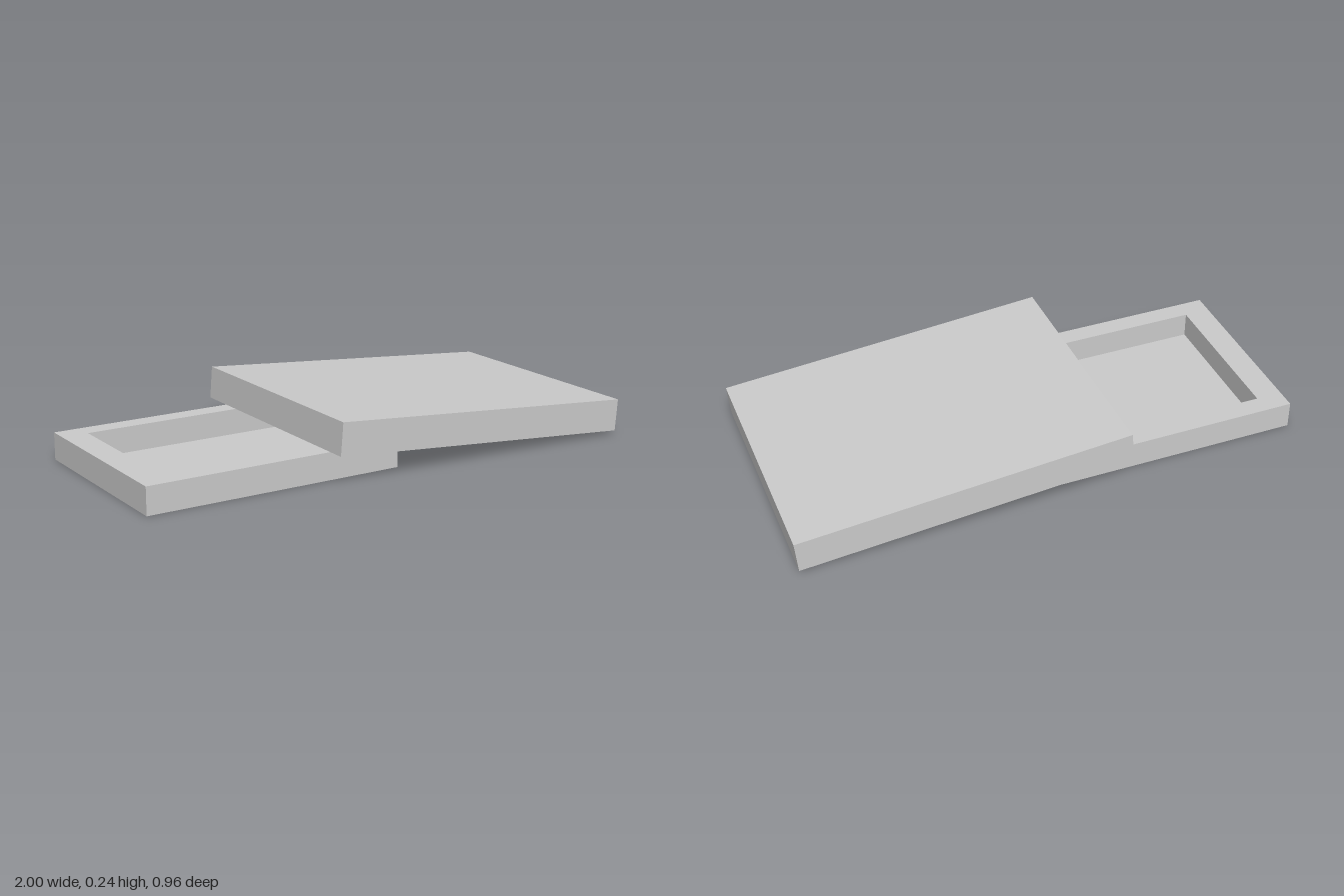
import * as THREE from 'three';

const material = new THREE.MeshStandardMaterial({ color: 0xcccccc, flatShading: true });

function rectangle(PathType, w, d) {
  return new PathType([
    new THREE.Vector2(-w / 2, -d / 2), new THREE.Vector2(w / 2, -d / 2),
    new THREE.Vector2(w / 2, d / 2), new THREE.Vector2(-w / 2, d / 2),
  ]);
}

// Open shallow box centred on its origin: a thin plate with a rim around a recess
function openBox(name, length, height, depth) {
  const plate = 0.005, inset = 0.8;
  const group = new THREE.Group();
  group.name = name;

  const outline = rectangle(THREE.Shape, length, depth);
  outline.holes.push(rectangle(THREE.Path, length * inset, depth * inset));
  const rimGeometry = new THREE.ExtrudeGeometry(outline, { depth: height - plate, bevelEnabled: false });
  rimGeometry.rotateX(-Math.PI / 2).translate(0, plate - height / 2, 0);
  const rim = new THREE.Mesh(rimGeometry, material);
  rim.name = name + 'Rim';

  const base = new THREE.Mesh(new THREE.BoxGeometry(length, plate, depth), material);
  base.name = name + 'Plate';
  base.position.y = (plate - height) / 2;

  group.add(rim, base);
  return group;
}

export function createModel() {
  const model = new THREE.Group();
  model.name = 'boxWithLid';

  // Tray lies flat with its recess facing up
  const tray = openBox('tray', 1.02, 0.105, 0.765);
  tray.position.set(-0.49, 0.0525, 0);

  // Larger lid faces down and leans on the tray
  const lid = openBox('lid', 1.284, 0.125, 0.96);
  lid.position.set(0.355, 0.126, 0);
  lid.rotation.z = Math.PI - THREE.MathUtils.degToRad(4.6);

  model.add(tray, lid);
  return model;
}
